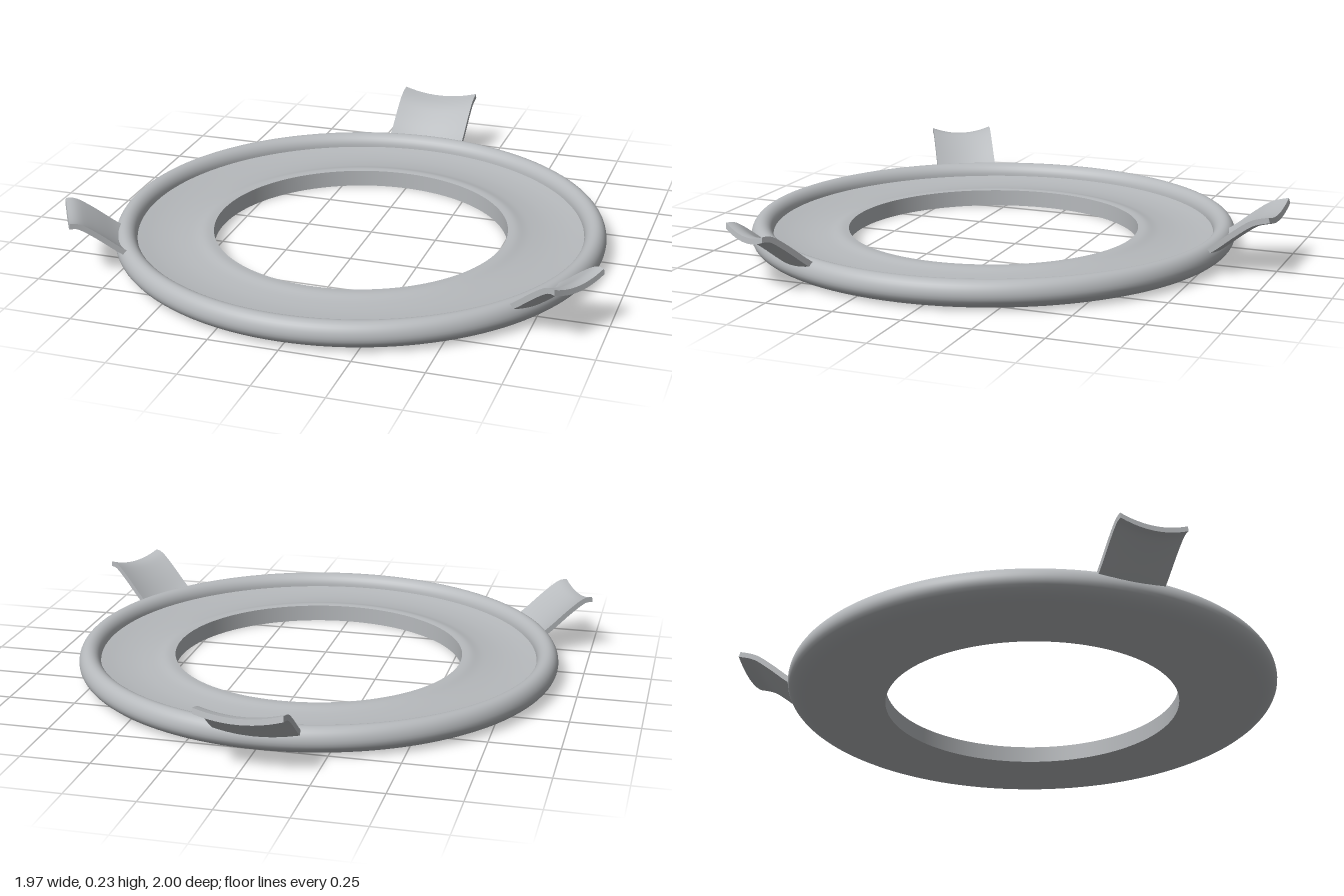
import * as THREE from 'three';

const metal = new THREE.MeshStandardMaterial({ color: 0xb6b9bc });
metal.name = 'satin grey';

// Revolved surface; profile points are [radius, height], counter-clockwise
function revolve(name, points) {
  const profile = points.map(([r, y]) => new THREE.Vector2(r, y));
  const mesh = new THREE.Mesh(new THREE.LatheGeometry(profile, 128), metal);
  mesh.name = name;
  return mesh;
}

// Quarter ellipse from angle a0 to a1 (degrees)
function arc(cx, cy, rx, ry, a0, a1, n = 8) {
  return Array.from({ length: n + 1 }, (_, i) => {
    const a = THREE.MathUtils.degToRad(a0 + (a1 - a0) * i / n);
    return [cx + rx * Math.cos(a), cy + ry * Math.sin(a)];
  });
}

// Curved spring clip running outwards along +z, troughed across its width
function springClip(name, width, reach, lift) {
  const path = new THREE.SplineCurve([
    [0.85, 0.048], [0.9, 0.083], [0.97, 0.139], [1.03, 0.18], [reach, lift],
  ].map(([z, y]) => new THREE.Vector2(z, y)));
  const thickness = 0.02;
  const geometry = new THREE.BoxGeometry(width, thickness, 1, 12, 1, 16);
  const pos = geometry.attributes.position;
  for (let i = 0; i < pos.count; i++) {
    const t = pos.getZ(i) + 0.5;
    const across = pos.getX(i) / (width / 2);
    const p = path.getPoint(t);
    const d = path.getTangent(t);
    const off = pos.getY(i);
    pos.setXYZ(i, pos.getX(i), p.y + off * d.x + 0.024 * across * across, p.x - off * d.y);
  }
  geometry.computeVertexNormals();
  const mesh = new THREE.Mesh(geometry, metal);
  mesh.name = name;
  return mesh;
}

export function createModel() {
  const group = new THREE.Group();
  group.name = 'trimRing';

  const HOLE = 0.543, FLOOR = 0.822;

  // Flat underside
  group.add(revolve('underside', [[HOLE, 0], [0.82, 0]]));

  // Rounded outer rim, rolling over the top and down to the floor
  group.add(revolve('outerRim', [
    ...arc(0.82, 0.055, 0.083, 0.055, -90, 0),
    ...arc(0.863, 0.055, 0.04, 0.05, 0, 90).slice(1),
    ...arc(0.863, 0.058, 0.041, 0.047, 90, 180).slice(1),
  ]));

  // Shallow dished floor
  const dish = new THREE.SplineCurve([
    [FLOOR, 0.058], [0.76, 0.05], [0.69, 0.048], [0.62, 0.054], [0.575, 0.064], [HOLE, 0.063],
  ].map(([r, y]) => new THREE.Vector2(r, y)));
  group.add(revolve('dishedFloor', dish.getPoints(20).map((p) => [p.x, p.y])));

  // Inner wall of the central opening
  group.add(revolve('openingWall', [[HOLE, 0.063], [HOLE, 0]]));

  // Three spring clips: a wide one at the back, two narrower at the front
  const back = springClip('backClip', 0.305, 1.09, 0.197);
  back.rotation.y = Math.PI;
  group.add(back);
  for (const side of [1, -1]) {
    const clip = springClip(side > 0 ? 'leftClip' : 'rightClip', 0.243, 1.066, 0.185);
    clip.rotation.y = side * Math.PI / 3;
    group.add(clip);
  }

  group.position.set(-0.011, 0, 0.091);
  const model = new THREE.Group();
  model.name = 'recessedLightTrim';
  model.add(group);
  return model;
}
